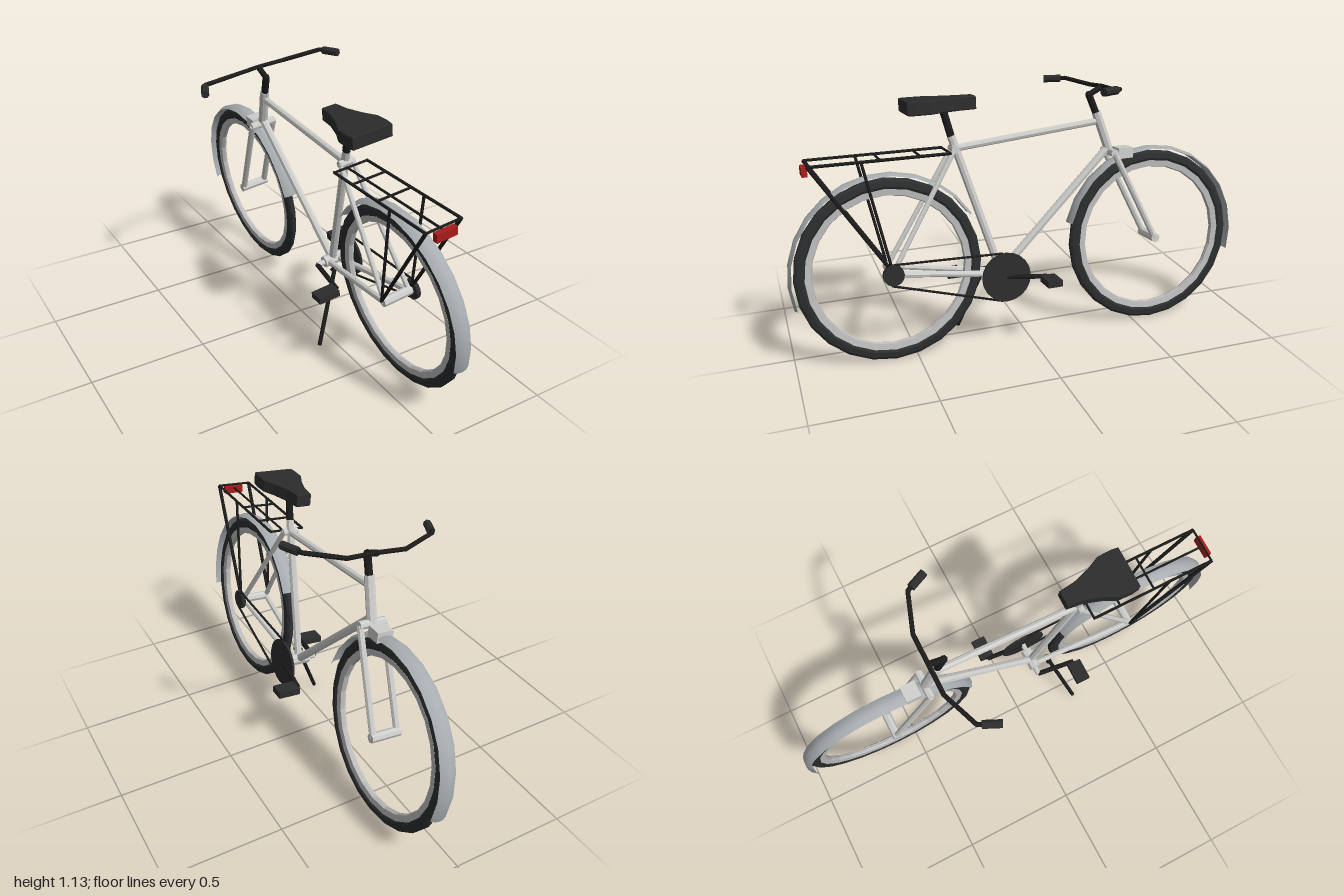
import * as THREE from 'three';

const mat = (name, color, opts = {}) => {
  const m = new THREE.MeshStandardMaterial({ color, ...opts });
  m.name = name;
  return m;
};

export function createModel() {
  const flat = { flatShading: true };
  const silver = mat('silver frame', 0xcdcdcb, flat);
  const rimGrey = mat('rim grey', 0xbcbcbc, { flatShading: true, side: THREE.DoubleSide });
  const fenderGrey = mat('fender grey', 0xa7adb0, { side: THREE.DoubleSide });
  const rubber = mat('tyre rubber', 0x2b2d2e, flat);
  const black = mat('black metal', 0x1b1b1b, flat);
  const charcoal = mat('charcoal', 0x2c2c2c, flat);
  const red = mat('red lamp', 0xa81c1c, flat);

  const root = new THREE.Group();
  root.name = 'bicycle';
  // the bicycle leans over onto its kickstand
  const bike = new THREE.Group();
  bike.name = 'leaningBicycle';
  bike.rotation.z = 0.113;
  bike.position.x = 0.126;
  root.add(bike);

  const V = (p) => new THREE.Vector3(...p);
  const add = (name, geo, material, pos = [0, 0, 0]) => {
    const m = new THREE.Mesh(geo, material);
    m.name = name;
    m.position.set(...pos);
    bike.add(m);
    return m;
  };
  // straight rod between two points
  const rod = (name, a, b, r, material, sides = 8) => {
    const p = V(a), q = V(b), d = q.clone().sub(p);
    const m = add(name, new THREE.CylinderGeometry(r, r, d.length(), sides), material);
    m.position.copy(p).add(q).multiplyScalar(0.5);
    m.quaternion.setFromUnitVectors(new THREE.Vector3(0, 1, 0), d.normalize());
    return m;
  };
  const box = (name, size, pos, material) => add(name, new THREE.BoxGeometry(...size), material, pos);
  // profile of [radius, width] swept about the wheel axle
  const sweep = (profile, segs, start = 0, len = Math.PI * 2) => {
    const pts = profile.map((p) => new THREE.Vector2(...p));
    return new THREE.LatheGeometry(pts, segs, start, len).rotateZ(Math.PI / 2);
  };

  const AXLE_Y = 0.394, REAR = 0.592, FRONT = -0.589;
  const rad = THREE.MathUtils.degToRad;

  // wheels and fenders
  const tyre = [[0.377, -0.016], [0.387, -0.008], [0.387, 0.008], [0.377, 0.016], [0.354, 0.02],
    [0.34, 0.012], [0.34, -0.012], [0.354, -0.02], [0.377, -0.016]];
  const rim = [[0.344, -0.015], [0.344, 0.015], [0.318, 0.012], [0.314, 0], [0.318, -0.012], [0.344, -0.015]];
  const fender = [[0.398, -0.035], [0.407, -0.018], [0.41, 0], [0.407, 0.018], [0.398, 0.035]];
  for (const [side, z, from, to] of [['rear', REAR, -16, 150], ['front', FRONT, 15, 196]]) {
    add(side + 'Tyre', sweep(tyre, 24), rubber, [0, AXLE_Y, z]);
    add(side + 'Rim', sweep(rim, 24), rimGrey, [0, AXLE_Y, z]);
    add(side + 'Fender', sweep(fender, 12, rad(from), rad(to - from)), fenderGrey, [0, AXLE_Y, z]);
    rod(side + 'Hub', [-0.068, AXLE_Y, z], [0.068, AXLE_Y, z], 0.02, silver);
  }

  // frame
  const bb = [0, 0.319, 0.118], seatTop = [0, 0.925, 0.304];
  const headTop = [0, 0.97, -0.34], headLow = [0, 0.79, -0.4];
  rod('seatTube', bb, seatTop, 0.017, silver);
  rod('topTube', [0, 0.872, 0.293], [0, 0.93, -0.335], 0.015, silver);
  rod('downTube', bb, [0, 0.81, -0.388], 0.018, silver);
  rod('headTube', headLow, headTop, 0.021, silver);
  rod('bottomBracket', [-0.045, 0.319, 0.118], [0.045, 0.319, 0.118], 0.026, silver);
  rod('seatCluster', [-0.035, 0.872, 0.296], [0.035, 0.872, 0.296], 0.016, silver);
  rod('forkCrown', [-0.06, 0.793, -0.4], [0.06, 0.793, -0.4], 0.018, silver);
  box('crownBracket', [0.07, 0.045, 0.065], [0, 0.785, -0.463], silver);

  for (const s of [-1, 1]) {
    const side = s > 0 ? 'left' : 'right';
    rod(side + 'ForkBlade', [s * 0.054, 0.793, -0.4], [s * 0.056, AXLE_Y, FRONT], 0.014, silver);
    rod(side + 'SeatStay', [s * 0.06, AXLE_Y, REAR], [s * 0.028, 0.875, 0.296], 0.011, silver);
    rod(side + 'ChainStay', [s * 0.06, AXLE_Y, REAR], [s * 0.025, 0.319, 0.13], 0.013, silver);

    // luggage rack sides
    rod(side + 'RackRail', [s * 0.077, 0.867, 0.325], [s * 0.077, 0.867, 0.888], 0.006, black, 6);
    rod(side + 'RackRearLeg', [s * 0.073, 0.405, REAR], [s * 0.077, 0.867, 0.888], 0.008, black, 6);
    rod(side + 'RackFrontLeg', [s * 0.073, 0.405, REAR], [s * 0.077, 0.867, 0.685], 0.006, black, 6);

    // handlebar half with grip
    const bar = [[0, 1.078, -0.37], [s * 0.13, 1.074, -0.37], [s * 0.285, 1.094, -0.315], [s * 0.305, 1.094, -0.28]];
    for (let i = 0; i < 3; i++) {
      rod(side + 'Handlebar', bar[i], bar[i + 1], 0.0095, black);
      add(side + 'HandlebarBend', new THREE.SphereGeometry(0.0097, 8, 6), black, bar[i + 1]);
    }
    rod(side + 'Grip', [s * 0.294, 1.093, -0.298], [s * 0.326, 1.092, -0.228], 0.017, charcoal);

    // crank and pedal, splayed outwards
    const end = [s * 0.096, 0.302, 0.118 - s * 0.175];
    rod(side + 'Crank', [s * 0.078, 0.319, 0.118], end, 0.011, black);
    rod(side + 'PedalAxle', end, [s * 0.12, 0.3, end[2]], 0.008, black);
    box(side + 'Pedal', [0.098, 0.028, 0.064], [s * 0.15, 0.298, end[2]], charcoal);
  }
  for (const z of [0.328, 0.45, 0.61, 0.888]) {
    rod('rackCrossbar', [-0.077, 0.867, z], [0.077, 0.867, z], 0.005, black, 6);
  }
  rod('rackSpine', [0, 0.85, 0.3], [0, 0.85, 0.888], 0.005, black, 6);
  box('rearLamp', [0.09, 0.035, 0.022], [0, 0.84, 0.897], red);

  // stem
  const bend = [0, 1.046, -0.308];
  rod('stem', [0, 0.95, -0.345], bend, 0.016, black);
  rod('stemExtension', bend, [0, 1.078, -0.372], 0.013, black);
  add('stemBend', new THREE.SphereGeometry(0.016, 8, 6), black, bend);

  // seat post and saddle
  rod('seatPost', [0, 0.91, 0.3], [0, 1.05, 0.335], 0.016, black);
  const half = [[0.03, 0.203], [0.038, 0.27], [0.062, 0.345], [0.088, 0.4], [0.09, 0.46], [0.086, 0.489]];
  const outline = [...half, ...half.map(([x, z]) => [-x, z]).reverse()].map(([x, z]) => new THREE.Vector2(x, z));
  const saddle = new THREE.ExtrudeGeometry(new THREE.Shape(outline), {
    depth: 0.047, bevelEnabled: true, bevelThickness: 0.004, bevelSize: 0.003, bevelSegments: 1,
  }).rotateX(Math.PI / 2);
  add('saddle', saddle, charcoal, [0, 1.079, 0]);

  // chainring, sprocket and chain
  rod('crankAxle', [-0.08, 0.319, 0.118], [0.08, 0.319, 0.118], 0.012, silver);
  rod('chainring', [0.077, 0.319, 0.118], [0.087, 0.319, 0.118], 0.106, charcoal, 20);
  rod('sprocket', [0.068, AXLE_Y, REAR], [0.086, AXLE_Y, REAR], 0.044, charcoal, 14);
  rod('upperChain', [0.08, AXLE_Y + 0.044, REAR - 0.005], [0.08, 0.424, 0.13], 0.005, black, 6);
  rod('lowerChain', [0.08, AXLE_Y - 0.043, REAR + 0.01], [0.08, 0.216, 0.14], 0.005, black, 6);

  // kickstand
  rod('kickstandMount', [-0.02, 0.33, 0.19], [-0.05, 0.31, 0.19], 0.013, black);
  rod('kickstand', [-0.04, 0.312, 0.192], [-0.195, 0.031, 0.272], 0.009, black);

  return root;
}
